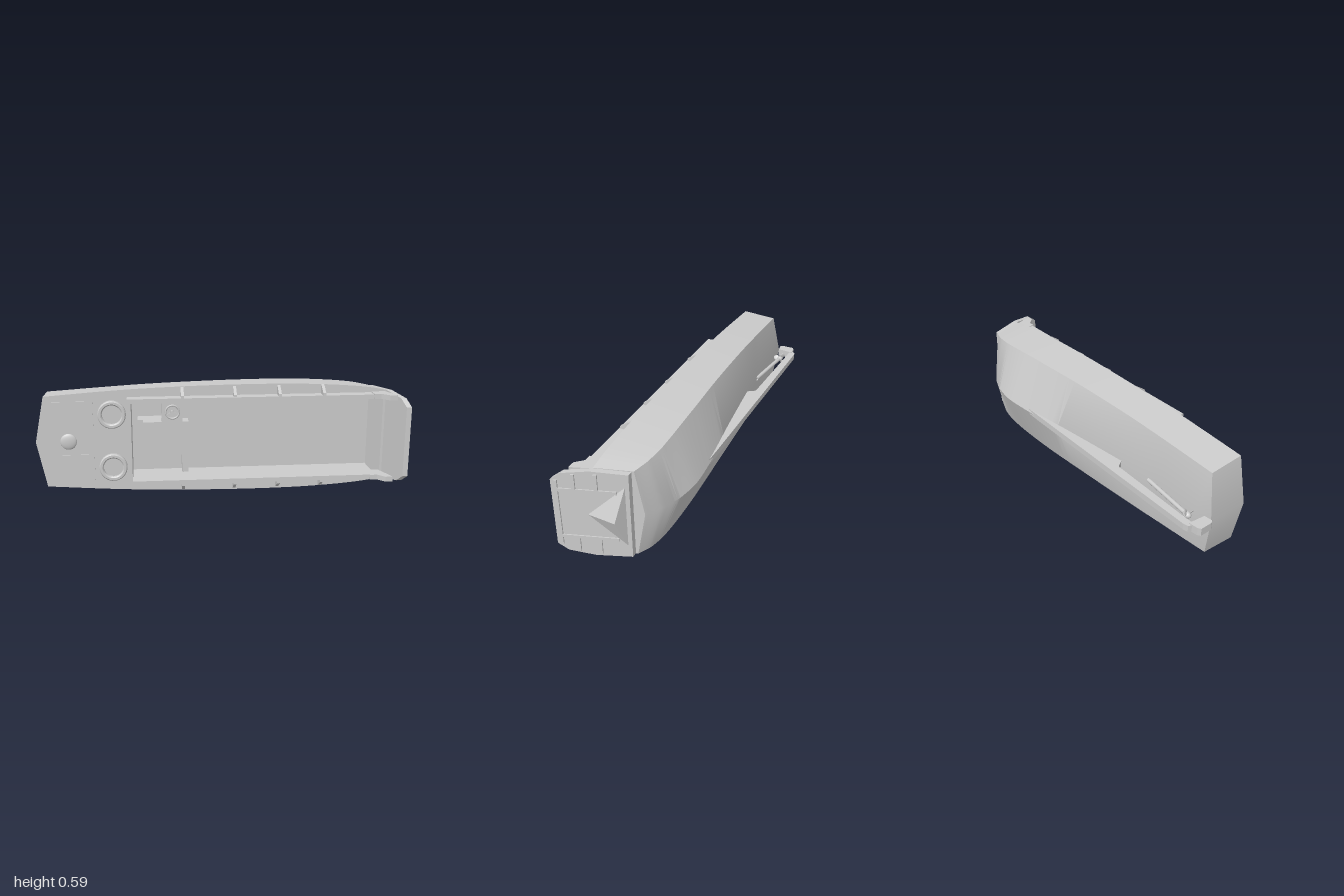
import * as THREE from 'three';
import { toCreasedNormals } from 'three/addons/utils/BufferGeometryUtils.js';
import { ConvexGeometry } from 'three/addons/geometries/ConvexGeometry.js';

const MID = 0.295;      // centreline height (the boat lies on its side)
const DECK = 0.082;     // deck plane in z
const FLOOR = -0.07;    // well floor in z
const SLOPE = 0.33;     // lean of the bow and its ramp
const mat = new THREE.MeshStandardMaterial({ color: 0xcccccc, side: THREE.DoubleSide });
const V = (x, y, z) => new THREE.Vector3(x, y, z);

function add(parent, name, geo, x = 0, y = 0, z = 0) {
  const m = new THREE.Mesh(geo, mat);
  m.name = name;
  m.position.set(x, y, z);
  parent.add(m);
  return m;
}
// box given by its limits
function block(parent, name, x0, x1, y0, y1, z0, z1) {
  return add(parent, name, new THREE.BoxGeometry(x1 - x0, y1 - y0, z1 - z0),
    (x0 + x1) / 2, (y0 + y1) / 2, (z0 + z1) / 2);
}
const poly = pts => new THREE.Shape(pts.map(p => new THREE.Vector2(p[0], p[1])));
const extrude = (shape, depth) => new THREE.ExtrudeGeometry(shape, { depth, bevelEnabled: false });
// cylinder with its axis along z
const discGeo = (rt, rb, h, n) => new THREE.CylinderGeometry(rt, rb, h, n).rotateX(Math.PI / 2);

// stations: x, deck half width, chine half width, chine z, keel z
const stations = [
  [-0.93, 0.248, 0.236, -0.107, -0.140], [-0.6, 0.272, 0.257, -0.11, -0.144],
  [-0.37, 0.284, 0.269, -0.114, -0.163], [0, 0.294, 0.279, -0.124, -0.202],
  [0.3, 0.295, 0.28, -0.136, -0.238], [0.51, 0.29, 0.275, -0.14, -0.25],
  [0.67, 0.28, 0.266, -0.138, -0.228], [0.78, 0.267, 0.257, -0.123, -0.187],
  [0.855, 0.25, 0.245, -0.095, -0.135]];

function hullSections(n) {
  const a = new THREE.CatmullRomCurve3(stations.map(s => V(s[0], s[1], s[2])));
  const b = new THREE.CatmullRomCurve3(stations.map(s => V(s[3], s[4], 0)));
  return Array.from({ length: n + 1 }, (_, i) => {
    const p = a.getPoint(i / n), q = b.getPoint(i / n);
    const lean = Math.max(0, (p.x - 0.5) / 0.355) ** 2;
    const at = (y, z) => V(p.x + lean * SLOPE * (z + 0.095), MID + y, z);
    const keel = at(0, q.y);
    if (i === 0) keel.x = -0.98;
    return [at(p.y, DECK), at(p.z, q.x), keel, at(-p.z, q.x), at(-p.y, DECK)];
  });
}

function addHull(g) {
  const rows = hullSections(48), pos = [];
  const tri = (...p) => p.forEach(v => pos.push(v.x, v.y, v.z));
  for (let i = 0; i < rows.length - 1; i++)
    for (let j = 0; j < 4; j++) {
      const a = rows[i][j], b = rows[i + 1][j], c = rows[i + 1][j + 1], d = rows[i][j + 1];
      tri(a, b, c); tri(a, c, d);
    }
  // pointed transom and flat bow face
  const first = rows[0], last = rows[rows.length - 1];
  const peak = V(-0.98, MID, DECK), bow = V(last[0].x, MID, DECK);
  for (let j = 0; j < 4; j++) {
    tri(peak, first[j], first[j + 1]);
    tri(bow, last[j + 1], last[j]);
  }
  const geo = new THREE.BufferGeometry();
  geo.setAttribute('position', new THREE.Float32BufferAttribute(pos, 3));
  add(g, 'hull', toCreasedNormals(geo, 0.6));

  // deck follows the hull edge and is open over the well
  const deck = poly([[-0.98, MID], ...rows.map(r => [r[4].x, r[4].y]),
    ...rows.map(r => [r[0].x, r[0].y]).reverse()]);
  deck.holes.push(poly([[-0.48, MID - 0.225], [-0.48, MID + 0.225], [0.9, MID + 0.225], [0.9, MID - 0.225]]));
  add(g, 'deck', new THREE.ShapeGeometry(deck), 0, 0, DECK);
}

function addWell(g) {
  // U-shaped coaming that is also the well's inner wall
  const o = 0.238, w = 0.214;
  const u = poly([[-0.492, -o], [0.86, -o], [0.86, -w], [-0.472, -w],
    [-0.472, w], [0.86, w], [0.86, o], [-0.492, o]]);
  add(g, 'coaming', extrude(u, 0.144 - FLOOR), 0, MID, FLOOR);
  block(g, 'wellFloor', -0.48, 0.865, MID - 0.22, MID + 0.22, FLOOR - 0.01, FLOOR);

  for (const s of [-1, 1]) {
    // triangular brackets outside the coaming
    for (const x of [-0.2, 0.08, 0.32, 0.56]) {
      const rib = poly([[o, DECK], [0.287, DECK], [0.278, 0.1], [o + 0.012, 0.14], [o, 0.14]]);
      const geo = extrude(rib, 0.016).applyMatrix4(
        new THREE.Matrix4().makeBasis(V(0, 1, 0), V(0, 0, 1), V(1, 0, 0)));
      const m = add(g, 'coamingBracket', geo, x - 0.008, MID, 0);
      if (s < 0) m.scale.y = -1;
    }
    // leaning posts beside the ramp
    const post = poly([[0.83, 0.06], [0.9, 0.06], [0.945, 0.19], [0.905, 0.19], [0.868, 0.15], [0.83, 0.15]]);
    add(g, 'rampPost', extrude(post, 0.028).rotateX(Math.PI / 2), 0, MID + s * 0.228 + 0.014, 0);
  }

  // engine cover, bulkhead and steering stand
  block(g, 'engineCover', -0.41, -0.166, 0.205, 0.39, FLOOR, 0.075);
  block(g, 'engineCoverStep', -0.44, -0.41, 0.205, 0.39, FLOOR, 0.02);
  block(g, 'bulkhead', -0.2, -0.166, MID - 0.214, MID + 0.214, FLOOR, 0);
  block(g, 'steeringStand', -0.31, -0.2, 0.39, 0.509, FLOOR, 0.085);
  const wheel = new THREE.Group();
  wheel.name = 'steeringWheel';
  wheel.position.set(-0.253, 0.45, 0.1);
  add(wheel, 'wheelRim', new THREE.TorusGeometry(0.036, 0.005, 8, 28));
  add(wheel, 'wheelHub', discGeo(0.009, 0.009, 0.03, 12), 0, 0, -0.006);
  for (let i = 0; i < 3; i++)
    add(wheel, 'wheelSpoke', new THREE.BoxGeometry(0.036, 0.007, 0.006).translate(0.018, 0, 0))
      .rotation.z = Math.PI / 2 + i * Math.PI * 2 / 3;
  g.add(wheel);
}

function addSternDeck(g) {
  const tub = [[0.052, -0.05], [0.052, 0.018], [0.058, 0.024], [0.07, 0.024], [0.075, 0.018], [0.075, -0.01]];
  for (const s of [-1, 1]) {
    const y = MID + s * 0.146;
    const ring = new THREE.LatheGeometry(tub.map(p => new THREE.Vector2(p[0], p[1])), 40).rotateX(Math.PI / 2);
    add(g, 'gunTub', toCreasedNormals(ring, 0.6), -0.575, y, DECK);
    add(g, 'gunTubFloor', discGeo(0.053, 0.053, 0.004, 40), -0.575, y, DECK);
    block(g, 'deckHatch', -0.888, -0.674, y - 0.072, y + 0.072, DECK - 0.005, DECK + 0.004);
  }
  add(g, 'roundHatch', new THREE.SphereGeometry(0.044, 28, 8, 0, Math.PI * 2, 0, Math.PI / 2)
    .rotateX(Math.PI / 2).scale(1, 1, 0.3), -0.808, MID, DECK);
}

function addRamp(g) {
  const ramp = new THREE.Group();
  ramp.name = 'bowRamp';
  // (-z, y, depth) sheared onto the leaning ramp plane
  const lean = new THREE.Matrix4().makeBasis(V(-SLOPE, 0, -1), V(0, 1, 0), V(1, 0, 0))
    .setPosition(0.858 + SLOPE * 0.09, 0, 0);
  const half = [[0.085, 0.242], [-0.085, 0.249], [-0.21, 0.229], [-0.259, 0.19]];
  const outline = [...half, ...half.map(p => [p[0], -p[1]]).reverse()].map(p => [p[0], p[1] + MID]);
  add(ramp, 'rampPlate', extrude(poly(outline), 0.028).applyMatrix4(lean));
  const bar = (z0, z1, y0, y1) => add(ramp, 'rampRib',
    new THREE.BoxGeometry(z1 - z0, y1 - y0, 0.008)
      .translate(-(z0 + z1) / 2, (y0 + y1) / 2, 0.03).applyMatrix4(lean));
  for (const s of [-1, 1]) {
    const across = (z0, z1, a, b) => bar(z0, z1, MID + Math.min(s * a, s * b), MID + Math.max(s * a, s * b));
    across(-0.03, 0.24, 0.13, 0.146);
    across(0.15, 0.166, 0.146, 0.228);
    across(0.051, 0.067, 0.146, 0.234);
  }
  bar(0.228, 0.244, MID - 0.19, MID + 0.19);
  // pointed bow fairing
  const fairing = new ConvexGeometry([V(0.07, MID + 0.195, 0.02), V(0.07, MID - 0.195, 0.02),
    V(-0.11, MID, 0.026), V(0.04, MID, 0.085)]);
  add(ramp, 'bowFairing', fairing.applyMatrix4(lean));
  g.add(ramp);
}

function addRunningGear(g) {
  // long skeg under the keel
  const skeg = poly([[0.34, -0.236], [0.25, -0.239], [-0.92, -0.26], [-0.945, -0.255], [-0.955, -0.235],
    [-0.94, -0.222], [-0.88, -0.222], [-0.4, -0.202], [-0.37, -0.158], [0, -0.195], [0.3, -0.23]]);
  add(g, 'skeg', extrude(skeg, 0.034).rotateX(Math.PI / 2), 0, MID + 0.017, 0);
  const rudder = poly([[-1, -0.225], [-0.985, -0.235], [-0.935, -0.24], [-0.945, -0.15], [-0.99, -0.145], [-1, -0.16]]);
  add(g, 'rudder', extrude(rudder, 0.042).rotateX(Math.PI / 2), 0, MID + 0.021, 0);

  const from = V(-0.56, MID, -0.145), to = V(-0.89, MID, -0.188);
  add(g, 'propellerShaft', new THREE.TubeGeometry(new THREE.LineCurve3(from, to), 1, 0.011, 14));
  const prop = new THREE.Group();
  prop.name = 'propeller';
  prop.position.set(-0.87, MID, -0.186);
  add(prop, 'propellerHub', new THREE.SphereGeometry(0.017, 16, 12).scale(1.4, 1, 1));
  for (let i = 0; i < 3; i++) {
    const arm = new THREE.Group();
    arm.name = 'bladeArm';
    arm.rotation.x = i * Math.PI * 2 / 3;
    add(arm, 'propellerBlade', new THREE.SphereGeometry(0.02, 14, 10).scale(0.2, 0.8, 1), 0, 0, 0.022)
      .rotation.z = 0.6;
    prop.add(arm);
  }
  g.add(prop);
}

export function createModel() {
  const g = new THREE.Group();
  g.name = 'landingCraft';
  addHull(g);
  addWell(g);
  addSternDeck(g);
  addRamp(g);
  addRunningGear(g);
  return g;
}
